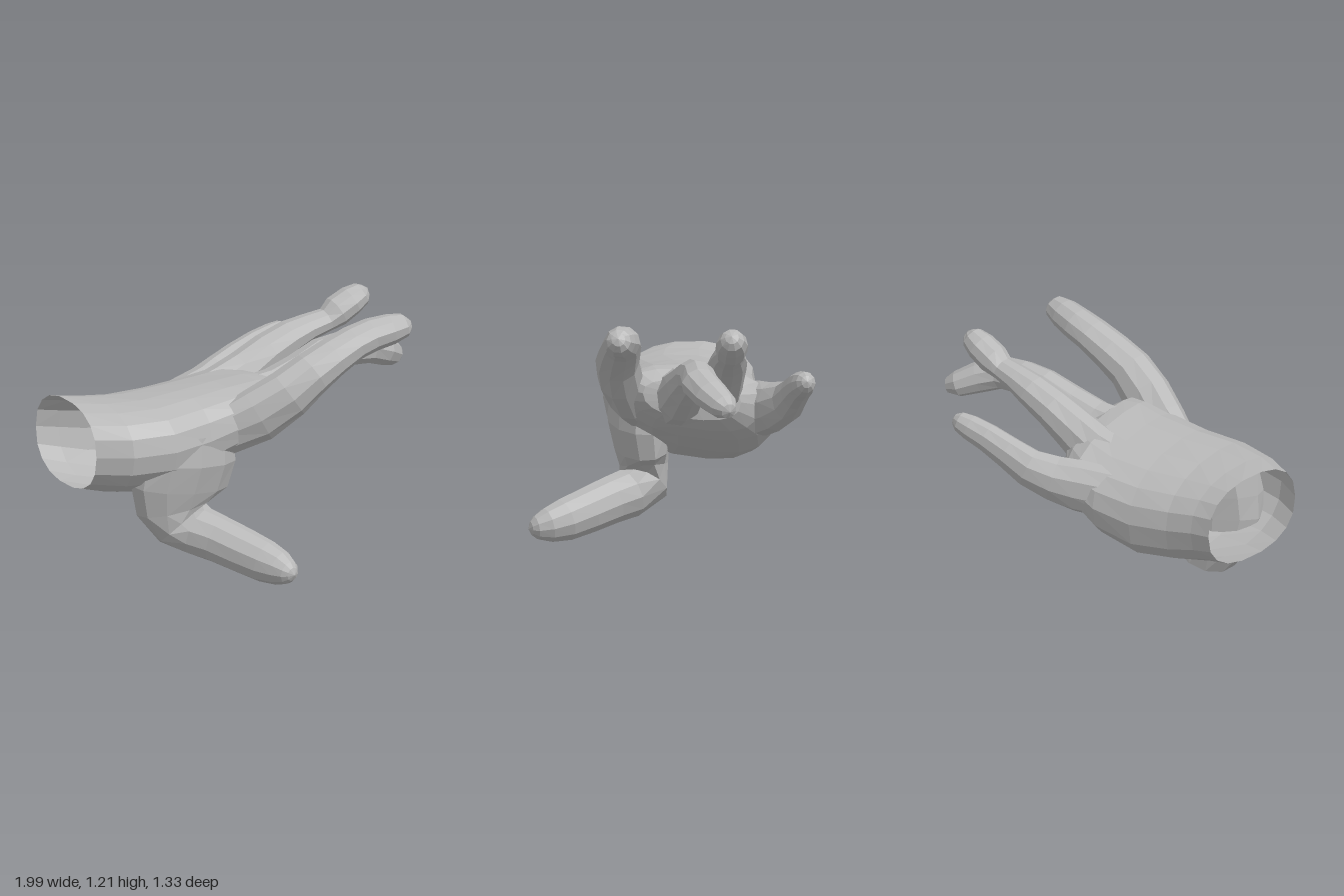
import * as THREE from 'three';

const skin = new THREE.MeshStandardMaterial({ color: 0xb8b8b8, flatShading: true, side: THREE.DoubleSide });
skin.name = 'grey skin';

// Skin a list of equal-sized rings, open at the start and closed with a fan at the end
function loft(name, rings, endCentre) {
  const n = rings[0].length, last = rings.length - 1, pts = rings.flat(), index = [];
  const at = (i, j) => i * n + (j % n);
  for (let i = 0; i < last; i++) {
    for (let j = 0; j < n; j++) {
      index.push(at(i, j), at(i + 1, j), at(i, j + 1), at(i + 1, j), at(i + 1, j + 1), at(i, j + 1));
    }
  }
  for (let j = 0; j < n; j++) index.push(pts.length, at(last, j + 1), at(last, j));
  pts.push(endCentre);
  const geo = new THREE.BufferGeometry().setFromPoints(pts);
  geo.setIndex(index);
  geo.computeVertexNormals();
  const mesh = new THREE.Mesh(geo, skin);
  mesh.name = name;
  return mesh;
}

// Digit: sections are [x, y, z, half width, half thickness], swept along their path
function digit(name, sections, sideAxis, sides = 10) {
  const c = sections.map(([x, y, z]) => new THREE.Vector3(x, y, z));
  let t;
  const rings = sections.map(([, , , w, h], i) => {
    t = c[Math.min(i + 1, c.length - 1)].clone().sub(c[Math.max(i - 1, 0)]).normalize();
    const s = sideAxis.clone().addScaledVector(t, -sideAxis.dot(t)).normalize();
    const u = s.clone().cross(t);
    return Array.from({ length: sides }, (_, j) => {
      const a = ((j + 0.25) / sides) * Math.PI * 2;
      return c[i].clone().addScaledVector(s, Math.cos(a) * w).addScaledVector(u, Math.sin(a) * h);
    });
  });
  return loft(name, rings, c[c.length - 1].clone().addScaledVector(t, 0.015));
}

// Palm ring: x, z range, y range, height of its widest line, lift of the index side, slant of the cut
function palmRing([x, z0, z1, y0, y1, mid, tilt, slant]) {
  return Array.from({ length: 18 }, (_, j) => {
    const a = (j / 18) * Math.PI * 2, c = Math.cos(a), s = Math.sin(a);
    const cz = Math.sign(c) * Math.abs(c) ** 0.85;
    const z = (z0 + z1) / 2 + ((z1 - z0) / 2) * cz;
    // The heel under the little finger hangs lower than the index side
    const reach = s > 0 ? y1 - mid : (y0 - mid) * (1 - 3 * tilt * c);
    const y = mid + tilt * c + reach * Math.abs(s) ** 0.85;
    return new THREE.Vector3(x + slant * (z + 0.3), y, z);
  });
}

export function createModel() {
  const hand = new THREE.Group();
  hand.name = 'hand';

  // Hollow wrist and palm
  const palm = [
    [-0.945, -0.62, 0.03, 0.45, 0.895, 0.67, 0, -0.14],
    [-0.8, -0.595, 0.14, 0.42, 0.885, 0.66, 0.01, -0.08],
    [-0.62, -0.585, 0.21, 0.395, 0.88, 0.65, 0.03, 0],
    [-0.4, -0.59, 0.2, 0.395, 0.885, 0.65, 0.05, 0],
    [-0.18, -0.585, 0.21, 0.47, 0.9, 0.69, 0.06, 0],
    [-0.03, -0.55, 0.24, 0.55, 0.92, 0.74, 0.05, 0],
    [0.06, -0.47, 0.21, 0.61, 0.91, 0.77, 0.05, 0],
    [0.13, -0.36, 0.14, 0.67, 0.87, 0.78, 0.03, 0],
  ];
  hand.add(loft('palm', palm.map(palmRing), new THREE.Vector3(0.15, 0.78, -0.1)));

  // Four fingers fanning out of the knuckles
  const fingers = {
    indexFinger: [
      [-0.26, 0.7, 0.1, 0.08, 0.13], [-0.1, 0.78, 0.17, 0.11, 0.15], [0.04, 0.885, 0.24, 0.115, 0.135],
      [0.16, 0.98, 0.275, 0.11, 0.115], [0.28, 1.045, 0.285, 0.105, 0.1], [0.4, 1.1, 0.295, 0.098, 0.088],
      [0.5, 1.13, 0.31, 0.09, 0.085], [0.6, 1.15, 0.34, 0.08, 0.078], [0.67, 1.165, 0.36, 0.062, 0.06],
      [0.69, 1.175, 0.365, 0.035, 0.035],
    ],
    middleFinger: [
      [-0.2, 0.72, -0.045, 0.1, 0.14], [0.02, 0.77, -0.045, 0.12, 0.15], [0.17, 0.8, -0.045, 0.115, 0.135],
      [0.32, 0.87, -0.05, 0.105, 0.11], [0.46, 0.94, -0.06, 0.092, 0.092], [0.58, 0.955, -0.058, 0.09, 0.088],
      [0.72, 0.945, -0.045, 0.095, 0.083], [0.83, 0.905, -0.08, 0.09, 0.08],
      [0.93, 0.86, -0.13, 0.073, 0.065], [0.98, 0.845, -0.145, 0.04, 0.04],
    ],
    ringFinger: [
      [-0.2, 0.72, -0.28, 0.09, 0.14], [0.0, 0.78, -0.275, 0.11, 0.145], [0.13, 0.86, -0.265, 0.105, 0.12],
      [0.27, 0.945, -0.26, 0.1, 0.1], [0.4, 1.005, -0.25, 0.092, 0.085], [0.5, 1.04, -0.235, 0.078, 0.068],
      [0.6, 1.065, -0.22, 0.068, 0.06], [0.66, 1.1, -0.215, 0.08, 0.08],
      [0.74, 1.145, -0.205, 0.08, 0.075], [0.8, 1.175, -0.195, 0.06, 0.06], [0.82, 1.19, -0.19, 0.035, 0.035],
    ],
    littleFinger: [
      [-0.22, 0.67, -0.45, 0.09, 0.14], [-0.04, 0.69, -0.5, 0.1, 0.14], [0.08, 0.715, -0.54, 0.1, 0.125],
      [0.2, 0.76, -0.585, 0.085, 0.105], [0.32, 0.82, -0.597, 0.073, 0.088], [0.44, 0.87, -0.6, 0.067, 0.076],
      [0.54, 0.9, -0.602, 0.062, 0.067], [0.6, 0.918, -0.605, 0.05, 0.054], [0.63, 0.925, -0.605, 0.028, 0.032],
    ],
  };
  const zAxis = new THREE.Vector3(0, 0, 1);
  for (const [name, sections] of Object.entries(fingers)) hand.add(digit(name, sections, zAxis));

  // Thumb, dropping from its broad base and bending forward
  hand.add(digit('thumb', [
    [-0.46, 0.72, 0.05, 0.28, 0.15], [-0.47, 0.58, 0.055, 0.3, 0.155], [-0.49, 0.45, 0.04, 0.29, 0.135],
    [-0.5, 0.35, 0.025, 0.23, 0.12], [-0.465, 0.25, 0.03, 0.165, 0.125], [-0.42, 0.215, 0.12, 0.135, 0.125],
    [-0.375, 0.19, 0.22, 0.12, 0.12], [-0.315, 0.15, 0.35, 0.115, 0.115],
    [-0.265, 0.115, 0.47, 0.105, 0.108], [-0.235, 0.095, 0.56, 0.085, 0.088],
    [-0.225, 0.085, 0.62, 0.06, 0.06], [-0.222, 0.082, 0.645, 0.035, 0.035],
  ], new THREE.Vector3(1, 0, 0), 11));

  return hand;
}
